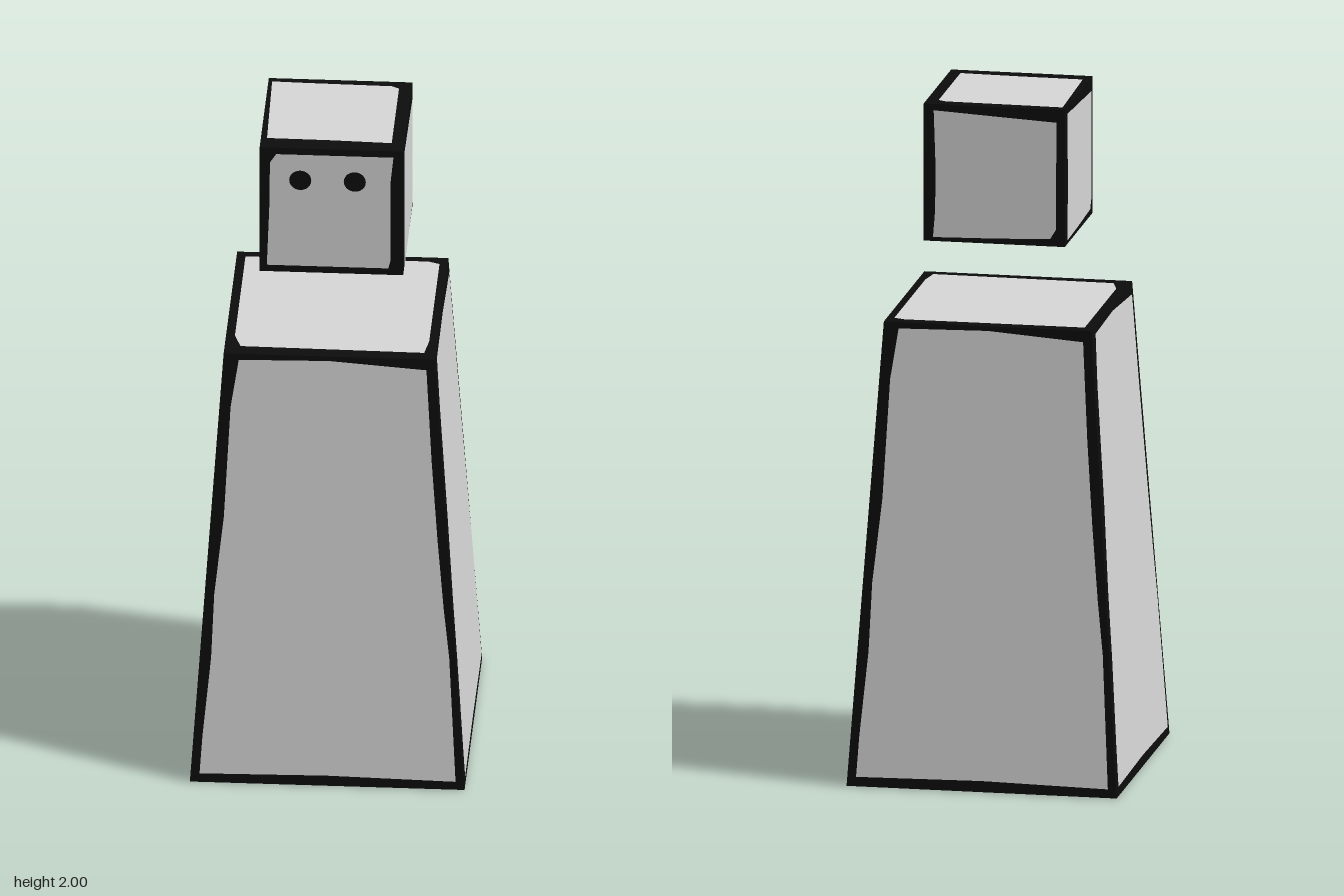
import * as THREE from 'three';

const GAP = 0.002; // how far the painted panels sit proud of the dark blocks

export function createModel() {
  const model = new THREE.Group();
  const ink = new THREE.MeshStandardMaterial({ name: 'black outline', color: 0x0c0c0c });
  const paint = new THREE.MeshStandardMaterial({ name: 'light grey panel', color: 0xd6d6d6 });

  const shapeOf = (pts) => new THREE.Shape(pts.map(([x, y]) => new THREE.Vector2(x, y)));
  const add = (parent, name, geometry, material) => {
    const mesh = new THREE.Mesh(geometry, material);
    mesh.name = name;
    parent.add(mesh);
    return mesh;
  };

  // Square block whose half width goes from low (at y0) to high (at y1)
  const block = (parent, name, y0, y1, low, high) => {
    const g = new THREE.BoxGeometry(2, y1 - y0, 2).translate(0, (y0 + y1) / 2, 0);
    const p = g.attributes.position;
    for (let i = 0; i < p.count; i++) {
      const h = p.getY(i) > (y0 + y1) / 2 ? high : low;
      p.setX(i, p.getX(i) * h);
      p.setZ(i, p.getZ(i) * h);
    }
    g.computeVertexNormals();
    add(parent, name, g, ink);
  };

  // Hand-cut panel leaning along a side, turned to face the given quarter
  const sidePanel = (parent, name, pts, half, quarter) => {
    const g = new THREE.ShapeGeometry(shapeOf(pts));
    const p = g.attributes.position;
    for (let i = 0; i < p.count; i++) p.setZ(i, half(p.getY(i)) + GAP);
    g.rotateY(quarter * Math.PI / 2);
    g.computeVertexNormals();
    add(parent, name, g, paint);
  };

  // Horizontal panel; points are given as x, z
  const flatPanel = (parent, name, pts, y, up) => {
    const s = up ? -1 : 1;
    const g = new THREE.ShapeGeometry(shapeOf(pts.map(([x, z]) => [x, s * z])));
    g.rotateX(s * Math.PI / 2).translate(0, y, 0);
    add(parent, name, g, paint);
  };

  const sides = ['Front', 'Left', 'Back', 'Right'];

  // Tapered body
  const body = new THREE.Group();
  body.name = 'body';
  model.add(body);
  block(body, 'bodyBlock', GAP, 1.37 - GAP, 0.4 - GAP, 0.306);
  const bodyHalf = (y) => 0.398 - 0.092 * y / 1.37;
  const bodyPanel = [
    [-0.37, 0.03], [0, 0.035], [0.372, 0.028], [0.352, 0.42], [0.335, 0.58], [0.316, 0.8],
    [0.298, 1.05], [0.282, 1.335], [0, 1.355], [-0.262, 1.35], [-0.285, 1.2],
    [-0.303, 0.85], [-0.33, 0.6], [-0.338, 0.4], [-0.362, 0.15],
  ];
  sides.forEach((s, i) => sidePanel(body, 'body' + s + 'Panel', bodyPanel, bodyHalf, i));
  flatPanel(body, 'bodyTopPanel',
    [[-0.28, -0.275], [0.25, -0.278], [0.283, -0.265], [0.283, 0.2], [0.273, 0.27], [-0.26, 0.263], [-0.28, 0.2]], 1.37, true);
  flatPanel(body, 'bodyBottomPanel',
    [[-0.385, -0.385], [0.385, -0.385], [0.385, 0.385], [-0.385, 0.385]], 0, false);

  // Floating cube head
  const head = new THREE.Group();
  head.name = 'head';
  model.add(head);
  block(head, 'headBlock', 1.588 + GAP, 2 - GAP, 0.208, 0.208);
  const headHalf = () => 0.208;
  const facePanel = [
    [-0.187, 1.612], [0.165, 1.612], [0.172, 1.64], [0.172, 1.9], [0.18, 1.978],
    [-0.16, 1.978], [-0.178, 1.95], [-0.18, 1.8],
  ];
  const headPanel = [
    [-0.18, 1.602], [0, 1.606], [0.165, 1.612], [0.182, 1.64], [0.184, 1.96],
    [0, 1.97], [-0.178, 1.98], [-0.172, 1.8], [-0.174, 1.68],
  ];
  sides.forEach((s, i) => sidePanel(head, 'head' + s + 'Panel', i ? headPanel : facePanel, headHalf, i));
  flatPanel(head, 'headTopPanel',
    [[-0.197, -0.185], [-0.1, -0.182], [0.15, -0.178], [0.172, -0.165], [0.172, 0.163], [0, 0.157], [-0.19, 0.155]], 2, true);
  flatPanel(head, 'headBottomPanel',
    [[-0.19, -0.19], [0.19, -0.19], [0.19, 0.19], [-0.19, 0.19]], 1.588, false);

  // Round painted eyes
  for (const [name, x] of [['rightEye', -0.09], ['leftEye', 0.068]]) {
    add(head, name, new THREE.CircleGeometry(0.032, 24), ink).position.set(x, 1.895, 0.208 + 2 * GAP);
  }
  return model;
}
